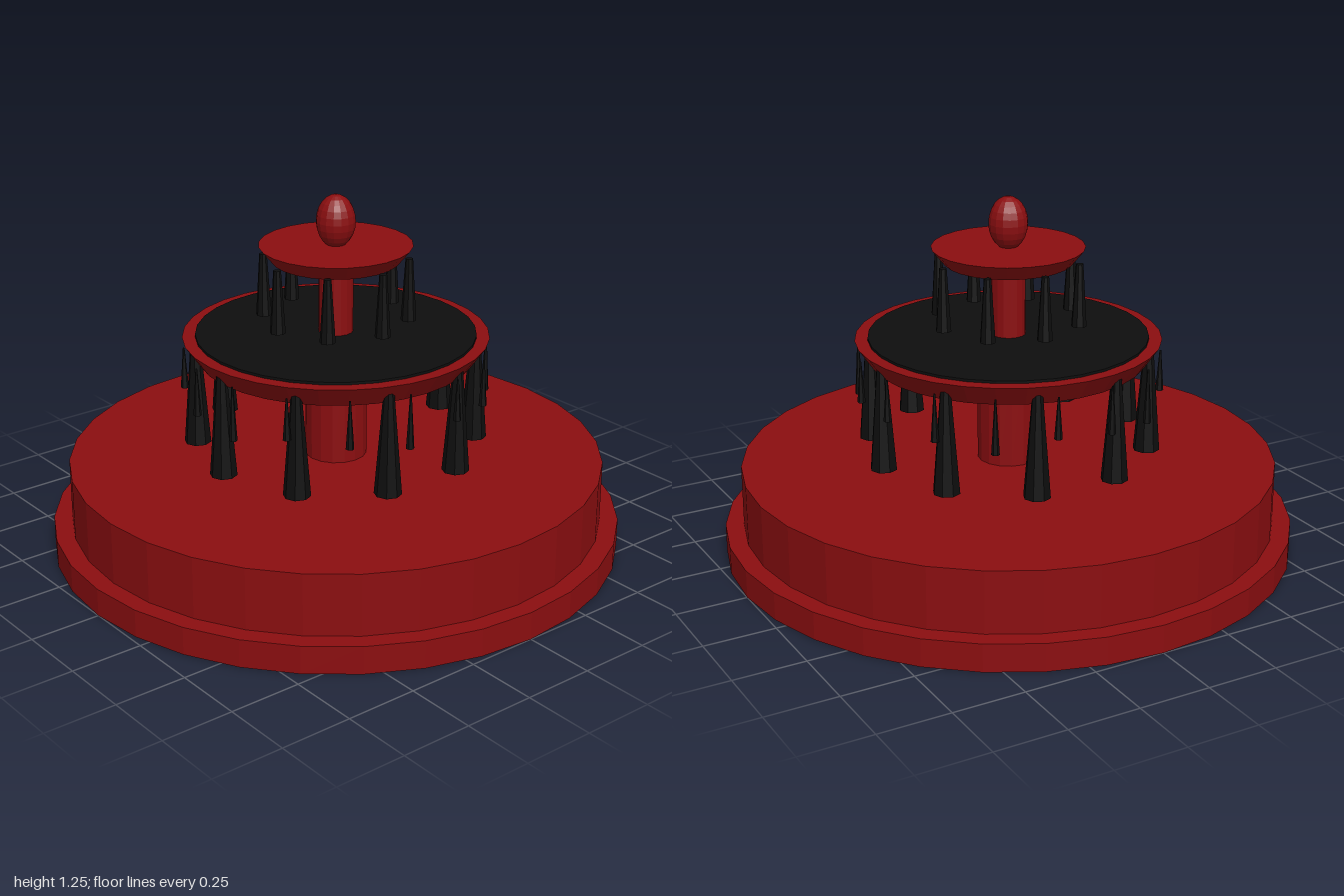
import * as THREE from 'three';

export function createModel() {
  const fountain = new THREE.Group();
  fountain.name = 'fountain';

  const red = new THREE.MeshStandardMaterial({ color: 0x8b0e10 });
  red.name = 'red stone';
  red.flatShading = true;
  const black = new THREE.MeshStandardMaterial({ color: 0x0e0e0e });
  black.name = 'black water';
  black.flatShading = true;

  // Upright round part between two heights
  function round(name, material, rBottom, rTop, y0, y1, sides, parent = fountain) {
    const mesh = new THREE.Mesh(new THREE.CylinderGeometry(rTop, rBottom, y1 - y0, sides), material);
    mesh.position.y = (y0 + y1) / 2;
    mesh.name = name;
    parent.add(mesh);
    return mesh;
  }

  // Ring of tapered water streams; bottoms repeat around the ring
  function streams(name, count, radius, offset, rBottom, rTop, bottoms, top, sides) {
    const ring = new THREE.Group();
    ring.name = name;
    for (let i = 0; i < count; i++) {
      const a = ((i + offset) / count) * Math.PI * 2;
      const m = round('stream', black, rBottom, rTop, bottoms[i % bottoms.length], top, sides, ring);
      m.position.x = Math.cos(a) * radius;
      m.position.z = Math.sin(a) * radius;
    }
    fountain.add(ring);
  }

  // Stepped base
  round('baseStep', red, 1, 1, 0, 0.098, 32);
  round('basePool', red, 0.936, 0.936, 0.098, 0.315, 32);

  // Middle tier
  round('lowerColumn', red, 0.108, 0.108, 0.315, 0.69, 16);
  round('middleBasin', red, 0.478, 0.53, 0.685, 0.76, 32);
  round('middleWater', black, 0.485, 0.485, 0.76, 0.769, 32);

  // Top tier
  round('upperColumn', red, 0.06, 0.06, 0.765, 1.03, 16);
  round('topBasin', red, 0.22, 0.264, 1.026, 1.08, 24);

  // Egg-shaped finial
  const finial = new THREE.Mesh(new THREE.SphereGeometry(0.068, 16, 12), red);
  finial.scale.y = 1.36;
  finial.position.y = 1.162;
  finial.name = 'finial';
  fountain.add(finial);

  // Falling water
  streams('topStreams', 8, 0.25, 0, 0.027, 0.013, [0.817], 1.037, 8);
  streams('middleStreams', 10, 0.485, 0, 0.047, 0.018, [0.362], 0.722, 8);
  streams('rimDrips', 16, 0.525, 0.5, 0.014, 0.003, [0.575, 0.53, 0.553], 0.72, 6);

  return fountain;
}
